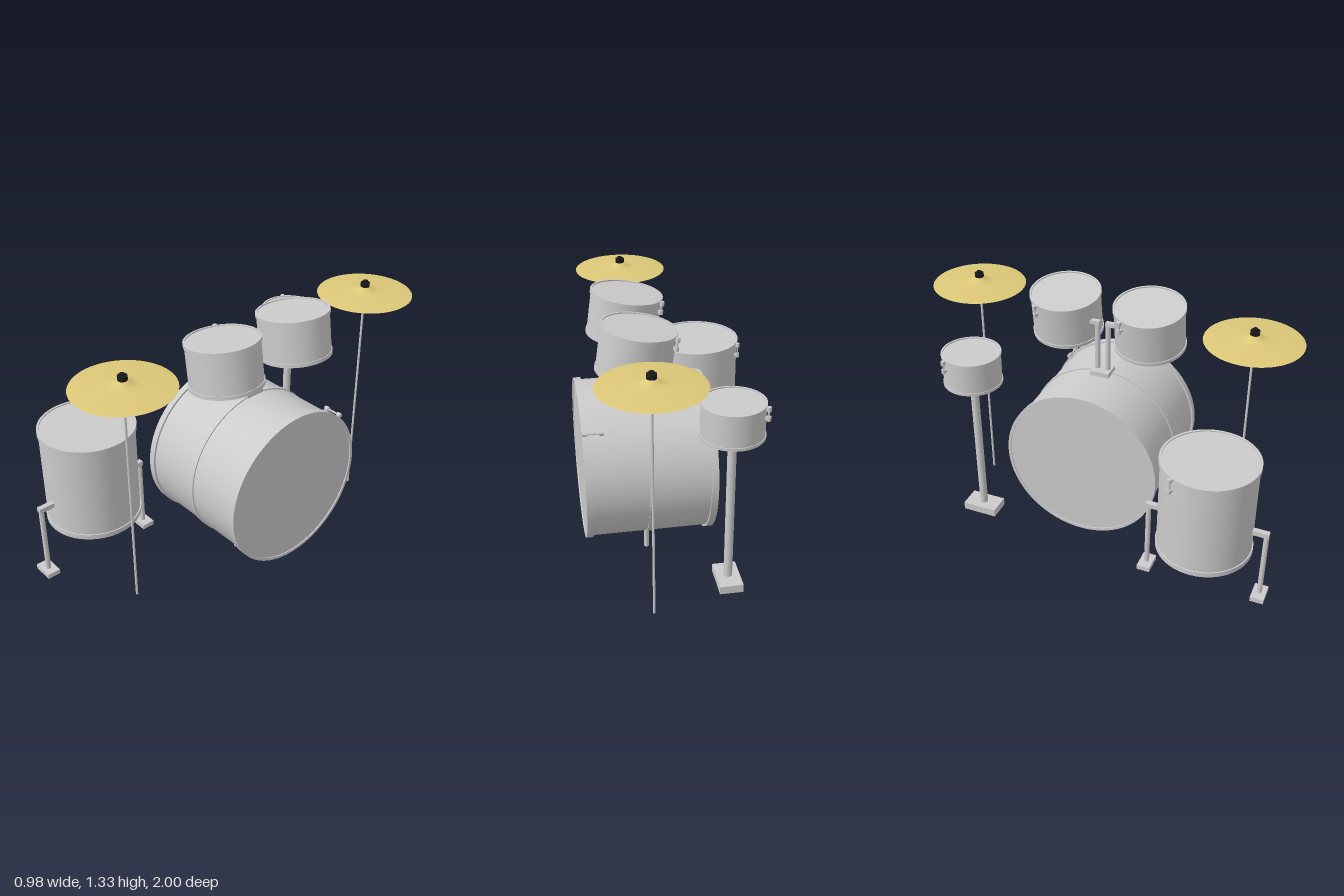
import * as THREE from 'three';

const grey = new THREE.MeshStandardMaterial({ color: 0xcccccc });
const brass = new THREE.MeshStandardMaterial({ color: 0xdcc878, side: THREE.DoubleSide });
const black = new THREE.MeshStandardMaterial({ color: 0x1a1a1a });

function add(parent, name, geometry, x = 0, y = 0, z = 0, material = grey) {
  const mesh = new THREE.Mesh(geometry, material);
  mesh.name = name;
  mesh.position.set(x, y, z);
  parent.add(mesh);
  return mesh;
}

const box = (w, h, d) => new THREE.BoxGeometry(w, h, d);
const rod = (r, h, n = 16) => new THREE.CylinderGeometry(r, r, h, n);

// Round bar between two points
function bar(parent, name, a, b, r) {
  const from = new THREE.Vector3(...a), to = new THREE.Vector3(...b);
  const dir = to.clone().sub(from);
  const mesh = add(parent, name, rod(r, dir.length()));
  mesh.position.copy(from).addScaledVector(dir, 0.5);
  mesh.quaternion.setFromUnitVectors(new THREE.Vector3(0, 1, 0), dir.normalize());
}

// Rectangular-section ring around the y axis, each side with its own normals
function ring(parent, name, inner, outer, h, y) {
  const shape = new THREE.Shape().absarc(0, 0, outer, 0, Math.PI * 2);
  shape.holes.push(new THREE.Path().absarc(0, 0, inner, 0, Math.PI * 2, true));
  const geo = new THREE.ExtrudeGeometry(shape, { depth: h, bevelEnabled: false, curveSegments: 48 });
  geo.rotateX(-Math.PI / 2);
  add(parent, name, geo, 0, y - h / 2, 0);
}

// Drum along y, centred on its own origin; r is the outer radius of the hoops
function drum(name, r, h, hoopH, lugAngle, lugDrop) {
  const g = new THREE.Group();
  g.name = name;
  const shellR = r - Math.min(0.01, r * 0.025);
  add(g, 'shell', new THREE.CylinderGeometry(shellR, shellR, h - 0.012, 64));
  for (const s of [-1, 1]) ring(g, 'hoop', shellR - 0.005, r, hoopH, s * (h - hoopH) / 2);

  // Tension fitting: a rod with two knobs beside the upper hoop
  const lug = new THREE.Group();
  lug.name = 'tensionFitting';
  lug.rotation.y = lugAngle;
  const top = h / 2 - 0.012;
  add(lug, 'fittingRod', rod(0.005, lugDrop, 8), r + 0.01, top - lugDrop / 2, 0);
  for (const y of [top, top - lugDrop]) {
    add(lug, 'fittingKnob', rod(0.011, 0.022, 12), r + 0.011, y, 0);
    add(lug, 'fittingBase', box(0.02, 0.012, 0.014), r - 0.001, y, 0);
  }
  g.add(lug);
  return g;
}

// Cymbal with bell, wing nut and thin straight stand
function cymbal(name, x, z, edgeY, bottom) {
  const g = new THREE.Group();
  g.name = name;
  g.position.set(x, 0, z);
  const profile = [[0.006, 0.036], [0.02, 0.034], [0.035, 0.025], [0.05, 0.017], [0.075, 0.013],
    [0.14, 0.008], [0.21, 0.003], [0.24, -0.002]].reverse();
  add(g, 'cymbalPlate', new THREE.LatheGeometry(profile.map(p => new THREE.Vector2(...p)), 64), 0, edgeY, 0, brass);
  add(g, 'wingNut', rod(0.023, 0.022, 12), 0, edgeY + 0.046, 0, black);
  add(g, 'nutCap', rod(0.012, 0.012, 12), 0, edgeY + 0.061, 0, black);
  const top = edgeY + 0.035;
  add(g, 'standRod', rod(0.006, top - bottom, 12), 0, (top + bottom) / 2, 0);
  return g;
}

export function createModel() {
  const model = new THREE.Group();
  model.name = 'drumKit';
  const lugAngle = Math.PI * 5 / 6; // toward -x and -z

  // Bass drum, lying along x
  const bass = drum('bassDrum', 0.408, 0.64, 0.034, Math.PI * 0.75, 0.08);
  bass.position.set(0.165, 0.518, -0.04);
  bass.rotation.z = -Math.PI / 2;
  ring(bass, 'centreBand', 0.39, 0.404, 0.03, 0);
  model.add(bass);
  for (const z of [0.055, -0.135]) add(model, 'bassLeg', rod(0.013, 0.14), 0.16, 0.07, z);

  // Two tilted toms
  for (const z of [0.185, -0.262]) {
    const tom = drum('tom', 0.181, 0.227, 0.018, lugAngle, 0.045);
    tom.position.set(0.212, 1.196, z);
    tom.rotation.z = 0.145;
    model.add(tom);
  }

  // Tom mount: plate, two posts and the arms into the toms
  const mount = new THREE.Group();
  mount.name = 'tomMount';
  add(mount, 'mountPlate', box(0.092, 0.025, 0.1), 0.14, 0.927, -0.038);
  for (const s of [-1, 1]) {
    const z = -0.038 + s * 0.028;
    add(mount, 'mountPost', rod(0.013, 0.27), 0.145, 1.07, z);
    add(mount, 'mountArm', box(0.026, 0.02, 0.06), 0.145, 1.196, z + s * 0.018);
  }
  model.add(mount);

  // Floor tom with two bent legs
  const floorTom = drum('floorTom', 0.24, 0.516, 0.026, lugAngle, 0.06);
  floorTom.position.set(-0.25, 0.573, 0.663);
  model.add(floorTom);
  for (const s of [-1, 1]) {
    const leg = new THREE.Group();
    leg.name = 'floorTomLeg';
    const z = 0.667 + s * 0.297;
    add(leg, 'legBracket', box(0.028, 0.025, 0.085), -0.247, 0.468, z - s * 0.03);
    add(leg, 'legRod', rod(0.013, 0.375), -0.247, 0.283, z);
    add(leg, 'legFoot', box(0.108, 0.025, 0.068), -0.25, 0.088, z);
    model.add(leg);
  }

  // Snare drum on a post stand
  const sx = -0.17, sz = -0.615;
  const snare = drum('snareDrum', 0.15, 0.17, 0.014, lugAngle, 0.045);
  snare.position.set(sx, 0.991, sz);
  model.add(snare);
  const stand = new THREE.Group();
  stand.name = 'snareStand';
  add(stand, 'standPost', rod(0.021, 0.75, 24), sx, 0.5, sz);
  add(stand, 'standBase', box(0.115, 0.042, 0.186), sx, 0.108, sz);
  for (const [dx, dz] of [[1, 0], [-1, 0], [0, 1], [0, -1]]) {
    bar(stand, 'standStrut', [sx, 0.857, sz], [sx + dx * 0.135, 0.908, sz + dz * 0.135], 0.01);
  }
  model.add(stand);

  // Cymbals
  model.add(cymbal('frontCymbal', 0.166, 0.718, 1.247, 0.06));
  model.add(cymbal('rearCymbal', 0.214, -0.76, 1.252, 0.065));
  return model;
}
